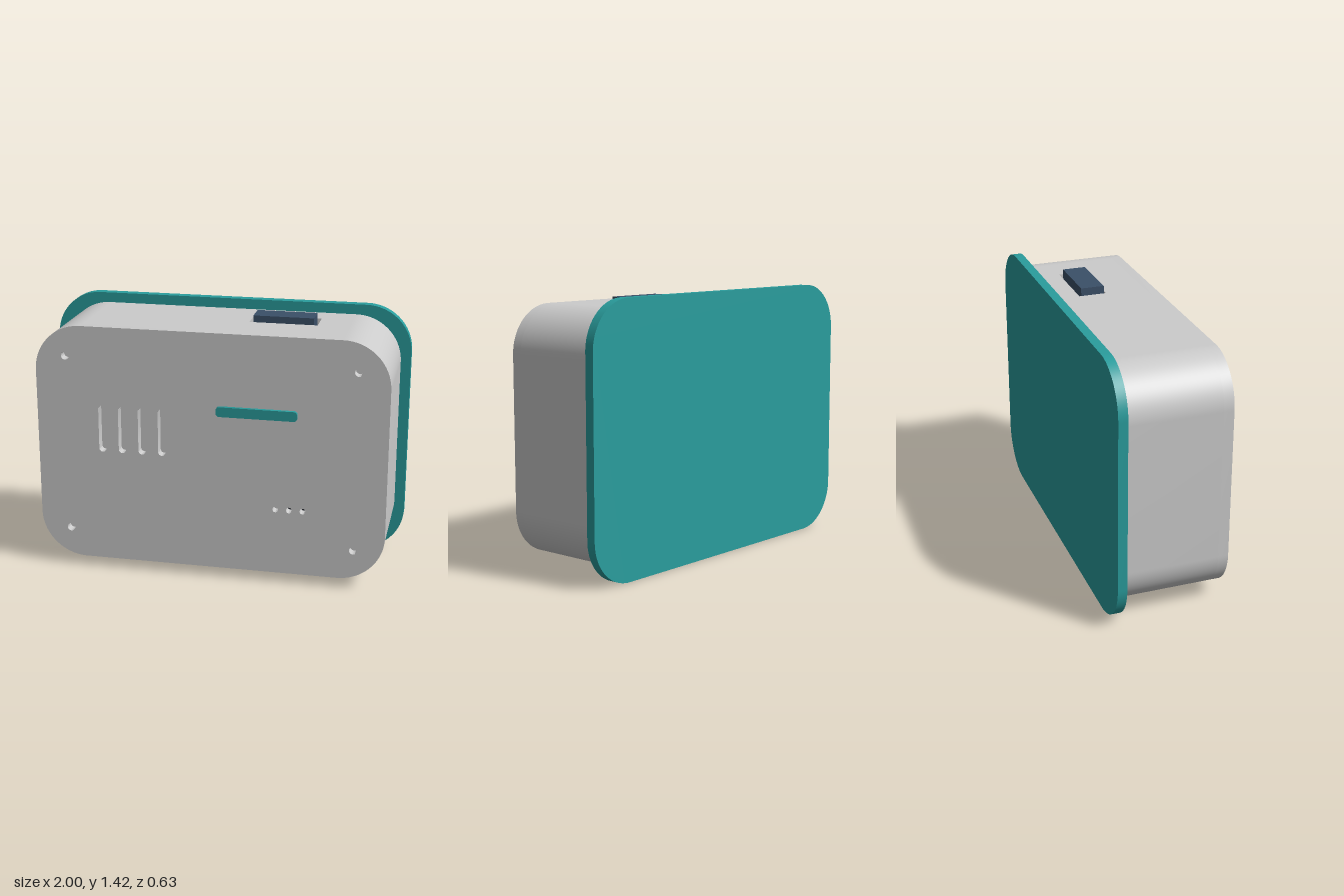
import * as THREE from 'three';
import { toCreasedNormals } from 'three/addons/utils/BufferGeometryUtils.js';

const MID = 0.71;                       // height of the case centre
const HW = 0.945, HH = 0.655, R = 0.25; // case half width, half height, corner radius
const T = 0.055;                        // wall thickness
const BACK = -0.265, FRONT = 0.3;

const mat = (color) => new THREE.MeshStandardMaterial({ color });

// Rounded rectangle centred on (cx, cy)
function roundRect(cx, cy, w, h, r) {
  const s = new THREE.Shape(), a = w / 2 - r, b = h / 2 - r, q = Math.PI / 2;
  s.moveTo(cx + w / 2, cy - b);
  s.absarc(cx + a, cy + b, r, 0, q);
  s.absarc(cx - a, cy + b, r, q, 2 * q);
  s.absarc(cx - a, cy - b, r, 2 * q, 3 * q);
  s.absarc(cx + a, cy - b, r, 3 * q, 4 * q);
  s.closePath();
  return s;
}

function rect(x0, x1, y0, y1) {
  return new THREE.Shape([[x0, y0], [x1, y0], [x1, y1], [x0, y1]].map(p => new THREE.Vector2(...p)));
}

function extrude(shape, z0, z1) {
  const g = new THREE.ExtrudeGeometry(shape, { depth: z1 - z0, bevelEnabled: false, curveSegments: 16 });
  return toCreasedNormals(g.translate(0, 0, z0), 0.5);
}

export function createModel() {
  const model = new THREE.Group();
  const grey = mat(0xcccccc), teal = mat(0x2a9d9d), navy = mat(0x3b5068);
  const green = mat(0x3f8a68), dark = mat(0x2b2f36);
  const add = (name, geometry, material, parent = model) => {
    const m = new THREE.Mesh(geometry, material);
    m.name = name;
    parent.add(m);
    return m;
  };
  const box = (name, x0, x1, y0, y1, z0, z1, material) =>
    add(name, new THREE.BoxGeometry(x1 - x0, y1 - y0, z1 - z0), material)
      .position.set((x0 + x1) / 2, (y0 + y1) / 2, (z0 + z1) / 2);

  // Back plate
  add('backPlate', extrude(roundRect(0, MID, 2, 1.42, R), -0.315, BACK), teal);

  // Case: front panel with vents, speaker holes and screw holes
  const shell = new THREE.Group();
  shell.name = 'case';
  model.add(shell);
  const face = roundRect(0, MID, 2 * HW, 2 * HH, R);
  for (let i = 0; i < 4; i++) face.holes.push(roundRect(-0.585 + i * 0.109, 0.805, 0.04, 0.26, 0.0199));
  for (let i = 0; i < 3; i++) face.holes.push(roundRect(0.36 + i * 0.073, 0.42, 0.032, 0.032, 0.0159));
  for (const x of [-0.78, 0.78]) for (const y of [0.22, 1.2]) {
    face.holes.push(roundRect(x, y, 0.044, 0.044, 0.0219));
    // Boss that closes the screw hole from behind
    const boss = add('screwBoss', new THREE.CylinderGeometry(0.05, 0.05, 0.5, 20), grey, shell);
    boss.rotation.x = Math.PI / 2;
    boss.position.set(x, y, -0.005);
  }
  add('frontPanel', extrude(face, FRONT - T, FRONT), grey, shell);

  // Rounded end walls, the second one turned half round
  const ex = HW - R, ey = HH - R, q = Math.PI / 2;
  const end = new THREE.Shape();
  end.moveTo(ex, HH);
  end.absarc(ex, ey, R, q, 0, true);
  end.absarc(ex, -ey, R, 0, -q, true);
  end.lineTo(ex, -HH + T);
  end.absarc(ex, -ey, R - T, -q, 0, false);
  end.absarc(ex, ey, R - T, 0, q, false);
  end.closePath();
  const endGeometry = extrude(end, BACK, FRONT - T);
  for (const turn of [0, Math.PI]) {
    const wall = add('endWall', endGeometry, grey, shell);
    wall.position.y = MID;
    wall.rotation.z = turn;
  }

  // Flat top and bottom walls, each with an opening
  const flatWall = (name, y, hole) => {
    const s = rect(-ex, ex, BACK, FRONT - T);
    s.holes.push(hole);
    const wall = add(name, extrude(s, 0, T), grey, shell);
    wall.rotation.x = Math.PI / 2;
    wall.position.y = y;
  };
  flatWall('topWall', MID + HH, rect(0.16, 0.525, -0.125, 0.025));
  flatWall('bottomWall', MID - HH + T, rect(-0.46, -0.28, -0.145, -0.055));
  add('innerBack', extrude(roundRect(0, MID, 2 * HW - 0.02, 2 * HH - 0.02, R - 0.01), BACK, BACK + 0.01), grey, shell);

  // Button on top and light bar on the front
  box('button', 0.18, 0.505, 1.1, 1.4, -0.108, 0.02, navy);
  add('lightBar', extrude(roundRect(0.255, 0.948, 0.43, 0.053, 0.018), 0.06, 0.32), teal);

  // Parts inside, seen through the openings
  box('circuitBoard', -0.285, 0.62, 0.6, 1.08, -0.03, 0.03, green);
  box('portBlock', -0.355, -0.285, 0.6, 0.915, -0.06, 0.03, grey);
  box('speaker', 0.36, 0.6, 0.32, 0.52, -0.1, 0.1, dark);

  return model;
}
